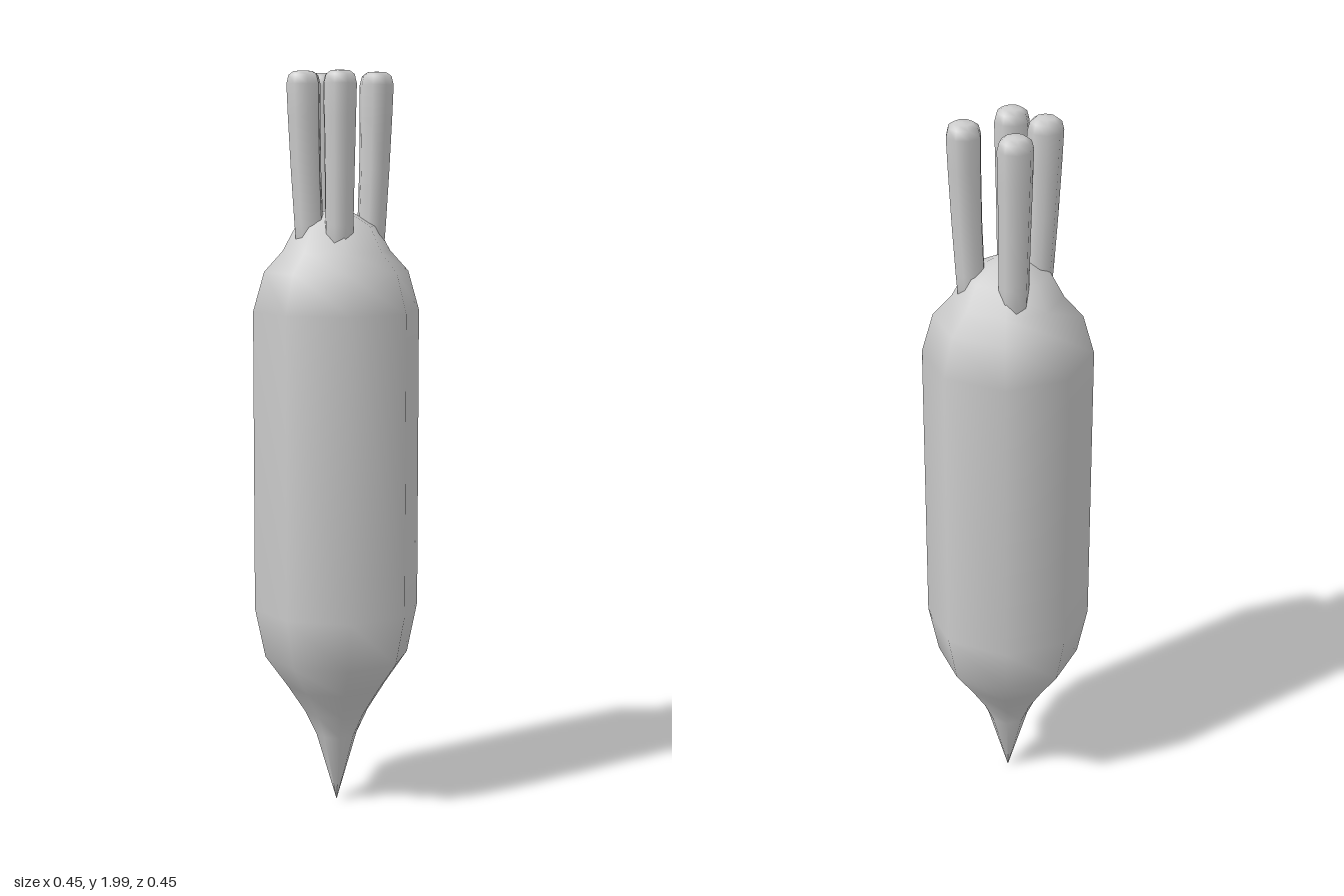
import * as THREE from 'three';

const material = new THREE.MeshStandardMaterial({ color: 0xcccccc });
const SIDES = 8;

function lathe(profile) {
  return new THREE.LatheGeometry(profile.map(([r, y]) => new THREE.Vector2(r, y)), SIDES);
}

// Upright stalk with a domed tip, sheared and gently bowed from base to top
function makeStalk(base, top, spin) {
  const y0 = 1.5;
  const geometry = lathe([
    [0, y0], [0.037, y0], [0.039, 1.6], [0.041, 1.74], [0.044, 1.88],
    [0.046, 1.965], [0.04, 1.988], [0.026, 1.998], [0, 2],
  ]);
  geometry.rotateY(spin);
  const p = geometry.attributes.position;
  for (let i = 0; i < p.count; i++) {
    const t = (p.getY(i) - y0) / (2 - y0);
    const s = Math.min(1, t + 0.18 * Math.sin(Math.PI * t));
    p.setX(i, p.getX(i) + base[0] + (top[0] - base[0]) * s);
    p.setZ(i, p.getZ(i) + base[1] + (top[1] - base[1]) * s);
  }
  geometry.computeVertexNormals();
  return new THREE.Mesh(geometry, material);
}

export function createModel() {
  const model = new THREE.Group();
  model.name = 'rootVegetable';

  // Tapering root with rounded shoulders
  const root = new THREE.Mesh(lathe([
    [0, 0.01], [0.056, 0.2], [0.087, 0.265], [0.136, 0.34], [0.197, 0.425],
    [0.225, 0.56], [0.225, 1.37], [0.195, 1.475], [0.145, 1.53],
    [0.11, 1.595], [0.035, 1.635], [0, 1.635],
  ]), material);
  root.name = 'root';
  model.add(root);

  // Four cut stalks: base [x, z], top [x, z], spin
  const stalks = [
    [[-0.07, -0.032], [-0.09, -0.042], 0.1],
    [[0.053, -0.076], [0.062, -0.092], 0.2],
    [[-0.065, 0.055], [-0.076, 0.066], 0.3],
    [[0.07, 0.058], [0.085, 0.07], 0.4],
  ];
  stalks.forEach(([base, top, spin], i) => {
    const stalk = makeStalk(base, top, spin);
    stalk.name = `stalk${i + 1}`;
    model.add(stalk);
  });

  return model;
}
